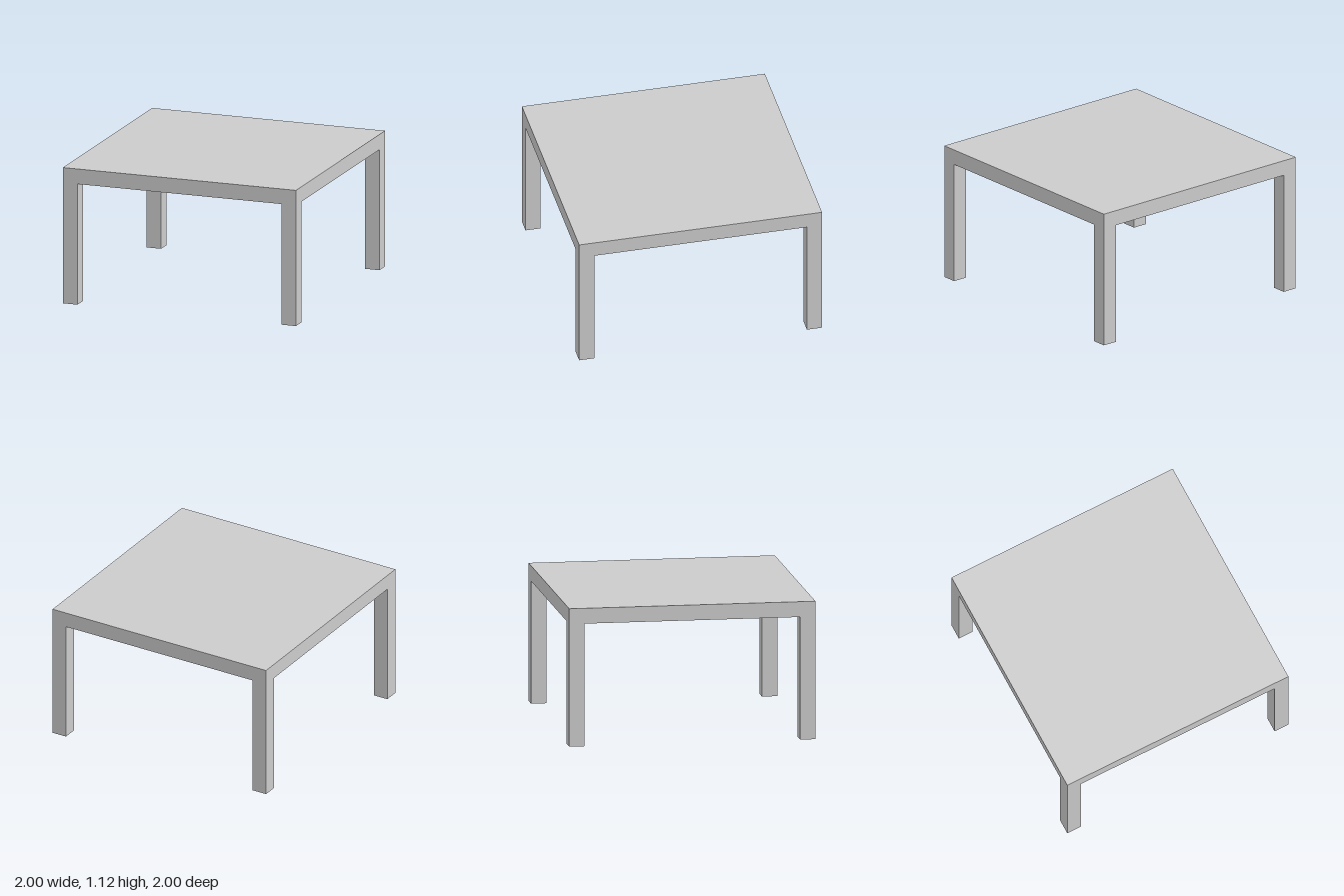
import * as THREE from 'three';

const SIZE = 2;          // table top width and depth
const THICK = 0.125;     // top thickness and leg width
const LEG_HEIGHT = 1;

export function createModel() {
  const table = new THREE.Group();
  table.name = 'table';
  const material = new THREE.MeshStandardMaterial({ color: 0xcccccc });

  // Square slab top
  const top = new THREE.Mesh(new THREE.BoxGeometry(SIZE, THICK, SIZE), material);
  top.name = 'tableTop';
  top.position.y = LEG_HEIGHT + THICK / 2;
  table.add(top);

  // Four square legs, flush with the corners
  const legGeometry = new THREE.BoxGeometry(THICK, LEG_HEIGHT, THICK);
  const offset = (SIZE - THICK) / 2;
  for (const [zName, z] of [['front', 1], ['back', -1]]) {
    for (const [xName, x] of [['Left', 1], ['Right', -1]]) {
      const leg = new THREE.Mesh(legGeometry, material);
      leg.name = `${zName}${xName}Leg`;
      leg.position.set(x * offset, LEG_HEIGHT / 2, z * offset);
      table.add(leg);
    }
  }
  return table;
}
